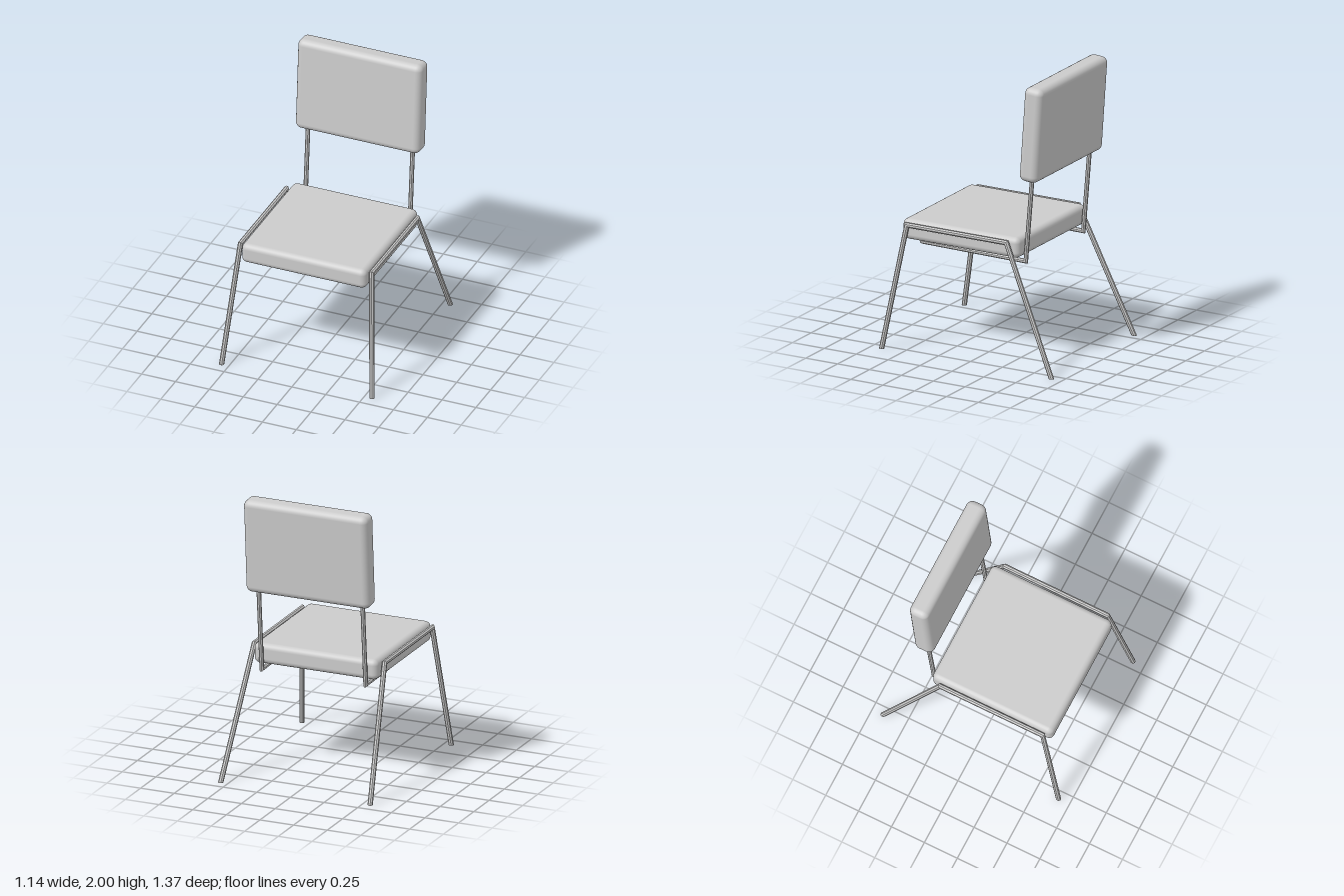
import * as THREE from 'three';
import { RoundedBoxGeometry } from 'three/addons/geometries/RoundedBoxGeometry.js';

const V = (x, y, z) => new THREE.Vector3(x, y, z);
const SIDES = 8;

// Faceted tube along a polyline with mitred bends; endNormal sets the plane of the two end cuts
function mitredTube(points, radius, endNormal) {
  const dirs = points.slice(1).map((p, i) => p.clone().sub(points[i]).normalize());
  const last = points.length - 1;
  const u = new THREE.Vector3().crossVectors(dirs[0], V(1, 0, 0)).normalize();
  const v = new THREE.Vector3().crossVectors(dirs[0], u);
  let ring = [];
  for (let k = 0; k < SIDES; k++) {
    const a = ((k + 0.5) / SIDES) * Math.PI * 2;
    const r = radius / Math.cos(Math.PI / SIDES);
    ring.push(points[0].clone().addScaledVector(u, Math.cos(a) * r).addScaledVector(v, Math.sin(a) * r));
  }
  // slide every corner along the segment until it meets the cutting plane
  const slide = (r, d, p, n) =>
    r.map((c) => c.clone().addScaledVector(d, p.clone().sub(c).dot(n) / d.dot(n)));

  const rings = [slide(ring, dirs[0], points[0], endNormal || dirs[0])];
  for (let i = 1; i <= last; i++) {
    const n = i < last ? dirs[i - 1].clone().add(dirs[i]).normalize() : endNormal || dirs[i - 1];
    rings.push(slide(rings[i - 1], dirs[i - 1], points[i], n));
  }

  const positions = rings.flat().flatMap((p) => p.toArray());
  const index = [];
  for (let i = 0; i < last; i++) {
    for (let k = 0; k < SIDES; k++) {
      const a = i * SIDES + k, b = i * SIDES + ((k + 1) % SIDES);
      index.push(a, b, b + SIDES, a, b + SIDES, a + SIDES);
    }
  }
  for (let k = 1; k < SIDES - 1; k++) {
    const e = last * SIDES;
    index.push(0, k + 1, k, e, e + k, e + k + 1);
  }
  const geometry = new THREE.BufferGeometry();
  geometry.setAttribute('position', new THREE.Float32BufferAttribute(positions, 3));
  geometry.setIndex(index);
  geometry.computeVertexNormals();
  return geometry;
}

export function createModel() {
  const group = new THREE.Group();
  const cushionMaterial = new THREE.MeshStandardMaterial({ color: 0xcccccc });
  const metalMaterial = new THREE.MeshStandardMaterial({ color: 0xcccccc, flatShading: true });

  const add = (name, geometry, material) => {
    const mesh = new THREE.Mesh(geometry, material);
    mesh.name = name;
    group.add(mesh);
    return mesh;
  };

  // Padded seat and slightly reclined backrest
  add('seat', new RoundedBoxGeometry(0.92, 0.145, 0.915, 3, 0.04), cushionMaterial)
    .position.set(0, 0.842, 0.107);
  const back = add('backrest', new RoundedBoxGeometry(0.92, 0.675, 0.143, 3, 0.045), cushionMaterial);
  back.position.set(0, 1.66, -0.437);
  back.rotation.x = -0.07;

  // Side frames: front leg, rail beside the seat and rear leg in one bent tube
  for (const [name, s] of [['leftLegFrame', 1], ['rightLegFrame', -1]]) {
    add(name, mitredTube([
      V(s * 0.555, 0, 0.665),
      V(s * 0.484, 0.884, 0.508),
      V(s * 0.484, 0.884, -0.272),
      V(s * 0.555, 0, -0.667),
    ], 0.0165, V(0, 1, 0)), metalMaterial);
  }

  // Back posts continuing under the seat as one U-shaped support
  const half = [V(0.386, 1.42, -0.424), V(0.386, 0.742, -0.367), V(0.386, 0.751, 0.438)];
  const mirrored = half.map((p) => V(-p.x, p.y, p.z)).reverse();
  add('backSupport', mitredTube([...half, ...mirrored], 0.0145), metalMaterial);

  return group;
}
